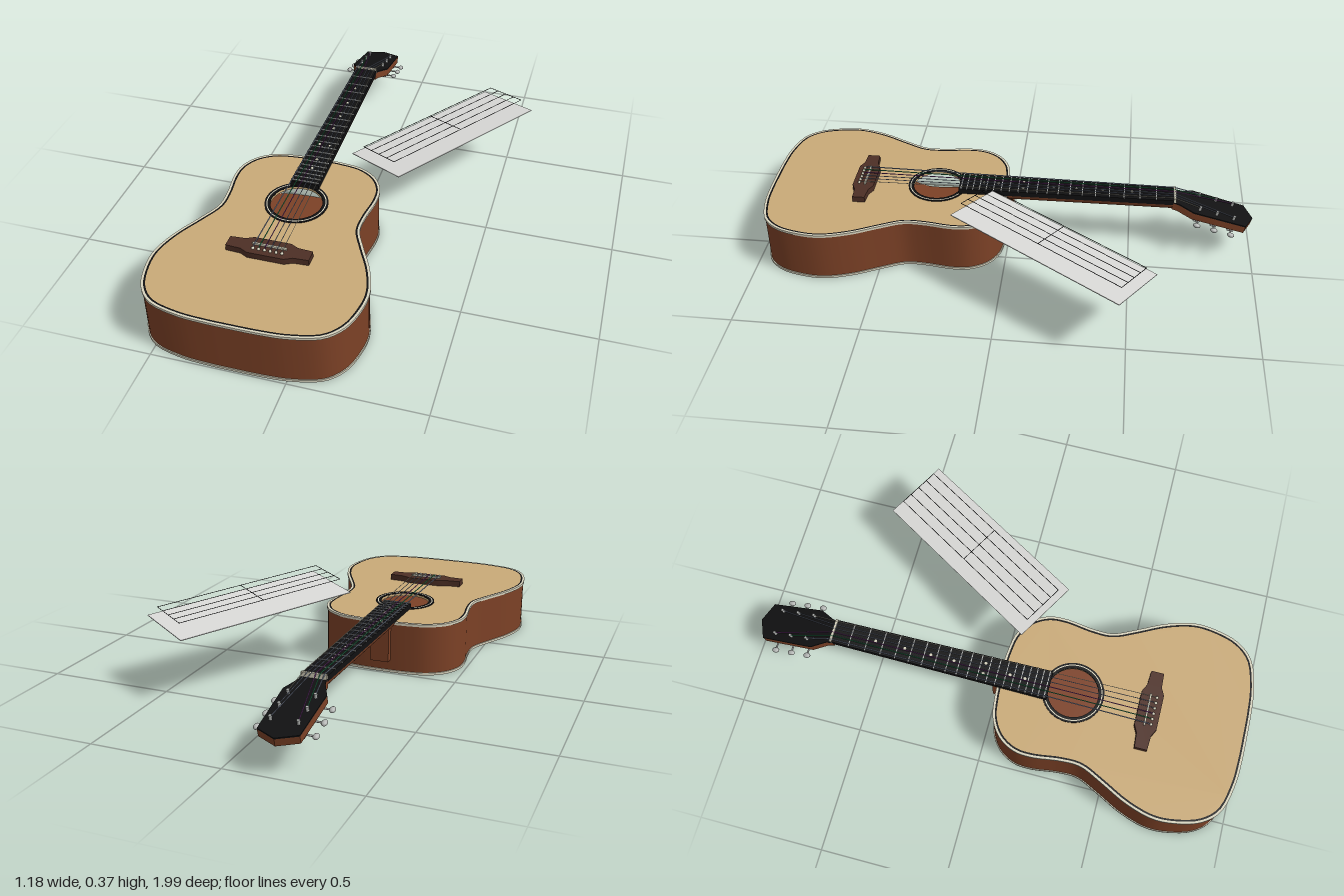
import * as THREE from 'three';
import { toCreasedNormals } from 'three/addons/utils/BufferGeometryUtils.js';

const colour = (name, hex) => {
  const m = new THREE.MeshStandardMaterial({ color: hex });
  m.name = name;
  return m;
};
const spruce = colour('spruce', 0xc9aa78);
const mahogany = colour('mahogany', 0x7c4126);
const ebony = colour('ebony', 0x111112);
const rosewood = colour('rosewood', 0x4d2f25);
const cream = colour('cream', 0xd6d2bd);
const silver = colour('silver', 0xb4b6b4);
const paper = colour('paper', 0xdadad8);
const green = colour('string green', 0x2f9a62);
const purple = colour('string purple', 0x8a3f96);
const blue = colour('string blue grey', 0x8f9bb5);

const CX = -0.19;      // guitar centre line
const NUT_Z = -0.67;
const SCALE = 1.27;    // nut to saddle
const STRING_Y = 0.243;
const V = (x, y, z) => new THREE.Vector3(x, y, z);

function add(parent, name, geometry, material, x = 0, y = 0, z = 0) {
  const mesh = new THREE.Mesh(geometry, material);
  mesh.name = name;
  mesh.position.set(x, y, z);
  parent.add(mesh);
  return mesh;
}

function box(parent, name, material, w, h, d, x, y, z) {
  return add(parent, name, new THREE.BoxGeometry(w, h, d), material, x, y, z);
}

// Thin round bar between two points
function rod(parent, name, material, a, b, r) {
  const dir = b.clone().sub(a);
  const mid = a.clone().add(b).multiplyScalar(0.5);
  const mesh = add(parent, name, new THREE.CylinderGeometry(r, r, dir.length(), 8), material, mid.x, mid.y, mid.z);
  mesh.quaternion.setFromUnitVectors(V(0, 1, 0), dir.normalize());
  return mesh;
}

// Horizontal slab from an outline drawn in (x, -z), between two heights
function slab(parent, name, material, outline, y0, y1, hole) {
  const shape = new THREE.Shape(outline);
  if (hole) shape.holes.push(new THREE.Path(hole));
  const g = new THREE.ExtrudeGeometry(shape, { depth: y1 - y0, bevelEnabled: false });
  g.rotateX(-Math.PI / 2);
  return add(parent, name, toCreasedNormals(g, 0.6), material, 0, y0, 0);
}

// Mirror a list of [half width, z] into a closed outline
function mirrored(half) {
  const right = half.map(([x, z]) => new THREE.Vector2(x, -z));
  const left = half.filter(([x]) => x > 0).reverse().map(([x, z]) => new THREE.Vector2(-x, -z));
  return [...right, ...left];
}

// Body outline, pushed outwards by a given distance
const bodyCurve = new THREE.CatmullRomCurve3(mirrored([
  [0, 0.013], [0.1, 0.017], [0.18, 0.032], [0.245, 0.075], [0.282, 0.14], [0.288, 0.21],
  [0.274, 0.32], [0.275, 0.4], [0.315, 0.49], [0.37, 0.6], [0.401, 0.71], [0.395, 0.8],
  [0.366, 0.89], [0.31, 0.95], [0.2, 0.982], [0.1, 0.99], [0, 0.991],
]).map((p) => V(p.x, p.y, 0)), true, 'centripetal');
function bodyOutline(offset) {
  const n = 120;
  return Array.from({ length: n }, (_, i) => {
    const p = bodyCurve.getPoint(i / n), t = bodyCurve.getTangent(i / n);
    // the outline runs clockwise, so outwards is left of the tangent
    return new THREE.Vector2(p.x - t.y * offset, p.y + t.x * offset);
  });
}

function circle(r, z) {
  return Array.from({ length: 64 }, (_, i) => {
    const a = (i / 64) * Math.PI * 2;
    return new THREE.Vector2(Math.cos(a) * r, Math.sin(a) * r - z);
  });
}

function buildBody(guitar) {
  const body = new THREE.Group();
  body.name = 'body';
  guitar.add(body);
  slab(body, 'back', mahogany, bodyOutline(0), 0.002, 0.012);
  slab(body, 'sides', mahogany, bodyOutline(0), 0.01, 0.203, bodyOutline(-0.012));
  slab(body, 'soundboard', spruce, bodyOutline(-0.002), 0.2, 0.21, circle(0.1, 0.305));
  // pale bindings with a dark inlaid line
  slab(body, 'topBinding', cream, bodyOutline(0.004), 0.202, 0.212, bodyOutline(-0.005));
  slab(body, 'bottomBinding', cream, bodyOutline(0.004), 0, 0.01, bodyOutline(-0.005));
  slab(body, 'purfling', ebony, bodyOutline(-0.005), 0.208, 0.2115, bodyOutline(-0.012));
  // rosette rings
  [[0.122, 0.115, ebony], [0.115, 0.111, cream], [0.111, 0.1, ebony]].forEach(([outer, inner, m]) =>
    slab(body, 'rosette', m, circle(outer, 0.305), 0.208, 0.213, circle(inner, 0.305)));
  // bridge, saddle and pins
  slab(body, 'bridge', rosewood, mirrored([
    [0, 0.563], [0.07, 0.563], [0.1, 0.578], [0.158, 0.582],
    [0.158, 0.632], [0.1, 0.635], [0.07, 0.65], [0, 0.65],
  ]), 0.21, 0.234);
  box(body, 'saddle', cream, 0.13, 0.01, 0.007, 0, 0.237, NUT_Z + SCALE);
  for (let i = 0; i < 6; i++) {
    add(body, 'bridgePin', new THREE.SphereGeometry(0.006, 12, 8), cream, (i - 2.5) * 0.022, 0.237, 0.625);
  }
}

function buildNeck(guitar) {
  const neck = new THREE.Group();
  neck.name = 'neck';
  guitar.add(neck);
  const widthAt = (z) => THREE.MathUtils.lerp(0.047, 0.057, (z - NUT_Z) / 0.88);

  // rounded neck shaft, narrowing to the nut
  const section = new THREE.Shape();
  section.moveTo(1, 0);
  section.absellipse(0, 0, 1, 0.036, 0, Math.PI, true);
  section.closePath();
  const g = new THREE.ExtrudeGeometry(section, { depth: 0.7, bevelEnabled: false, curveSegments: 20 });
  const p = g.attributes.position;
  for (let i = 0; i < p.count; i++) {
    const z = p.getZ(i) + NUT_Z - 0.005;
    p.setXYZ(i, p.getX(i) * widthAt(z), p.getY(i) + 0.215, z);
  }
  g.computeVertexNormals();
  add(neck, 'neckShaft', toCreasedNormals(g, 0.6), mahogany);
  box(neck, 'heel', mahogany, 0.075, 0.15, 0.035, 0, 0.125, 0.005);

  // fingerboard with frets and position dots
  slab(neck, 'fingerboard', ebony, mirrored([[widthAt(NUT_Z), NUT_Z], [widthAt(0.21), 0.21]]), 0.213, 0.235);
  box(neck, 'nut', cream, 0.094, 0.026, 0.01, 0, 0.229, NUT_Z - 0.004);
  const fretZ = (n) => NUT_Z + SCALE * (1 - 2 ** (-n / 12));
  for (let n = 1; n <= 20; n++) {
    box(neck, 'fret', silver, widthAt(fretZ(n)) * 2, 0.004, 0.004, 0, 0.236, fretZ(n));
  }
  for (const n of [3, 5, 7, 9, 12, 15, 17]) {
    const z = (fretZ(n) + fretZ(n - 1)) / 2;
    for (const x of n === 12 ? [-0.022, 0.022] : [0]) {
      add(neck, 'positionDot', new THREE.CylinderGeometry(0.006, 0.006, 0.002, 16), cream, x, 0.2355, z);
    }
  }
}

function buildHeadAndStrings(guitar) {
  // headstock leans back from the nut
  const head = new THREE.Group();
  head.name = 'headstock';
  head.position.set(0, 0.225, NUT_Z);
  head.rotation.x = -0.255;
  guitar.add(head);
  const outline = mirrored([[0.047, 0], [0.05, -0.025], [0.08, -0.085], [0.075, -0.305], [0, -0.339]]);
  slab(head, 'headBlock', mahogany, outline, -0.032, -0.004);
  slab(head, 'headFace', ebony, outline, -0.004, 0.001);

  const postZ = [-0.109, -0.181, -0.253];
  for (const side of [-1, 1]) {
    for (const z of postZ) {
      rod(head, 'tunerPost', silver, V(side * 0.05, -0.035, z), V(side * 0.05, 0.018, z), 0.006);
      box(head, 'tunerHousing', silver, 0.03, 0.014, 0.026, side * 0.055, -0.038, z);
      rod(head, 'tunerShaft', silver, V(side * 0.05, -0.038, z), V(side * 0.1, -0.038, z), 0.0035);
      add(head, 'tunerButton', new THREE.SphereGeometry(1, 16, 10), silver, side * 0.105, -0.038, z)
        .scale.set(0.011, 0.009, 0.015);
    }
  }

  // six strings, each running on from the nut to its post
  [blue, green, purple, blue, blue, cream].forEach((m, i) => {
    const k = i - 2.5, side = Math.sign(k), r = 0.0022 - i * 0.0002;
    const nutX = k * 0.0155;
    rod(guitar, 'string', m, V(k * 0.022, STRING_Y, 0.61), V(nutX, STRING_Y, NUT_Z), r);
    rod(guitar, 'bridgeStringEnd', m, V(k * 0.022, STRING_Y, 0.61), V(k * 0.022, 0.236, 0.625), r);
    rod(head, 'headString', m, V(nutX, 0.018, 0), V(side * 0.05, 0.012, postZ[Math.floor(3 - Math.abs(k))]), r);
  });
}

function buildSheet(root) {
  // floating tilted sheet with a five-line stave hovering above it
  const sheet = new THREE.Group();
  sheet.name = 'musicSheet';
  const u = V(0.221, 0.029, 0.136).normalize();
  const v = V(-0.407, 0.043, 0.653).normalize();
  const n = v.clone().cross(u).normalize();
  u.crossVectors(n, v);
  sheet.quaternion.setFromRotationMatrix(new THREE.Matrix4().makeBasis(u, n, v));
  sheet.position.set(0.274, 0.292, -0.202);
  root.add(sheet);
  box(sheet, 'page', paper, 0.26, 0.003, 0.771, 0, 0, 0);
  const [x0, x1, z0, z1, h] = [-0.078, 0.091, -0.362, 0.37, 0.044];
  for (let i = 0; i < 5; i++) {
    const x = THREE.MathUtils.lerp(x0, x1, i / 4);
    rod(sheet, 'staveLine', ebony, V(x, h, z0), V(x, h, z1), 0.0012);
  }
  for (const z of [z0, (z0 + z1) / 2, z1]) {
    rod(sheet, 'barLine', ebony, V(x0, h, z), V(x1, h, z), 0.0012);
  }
}

export function createModel() {
  const root = new THREE.Group();
  root.name = 'guitarWithMusic';
  const guitar = new THREE.Group();
  guitar.name = 'guitar';
  guitar.position.x = CX;
  root.add(guitar);
  buildBody(guitar);
  buildNeck(guitar);
  buildHeadAndStrings(guitar);
  buildSheet(root);
  return root;
}
